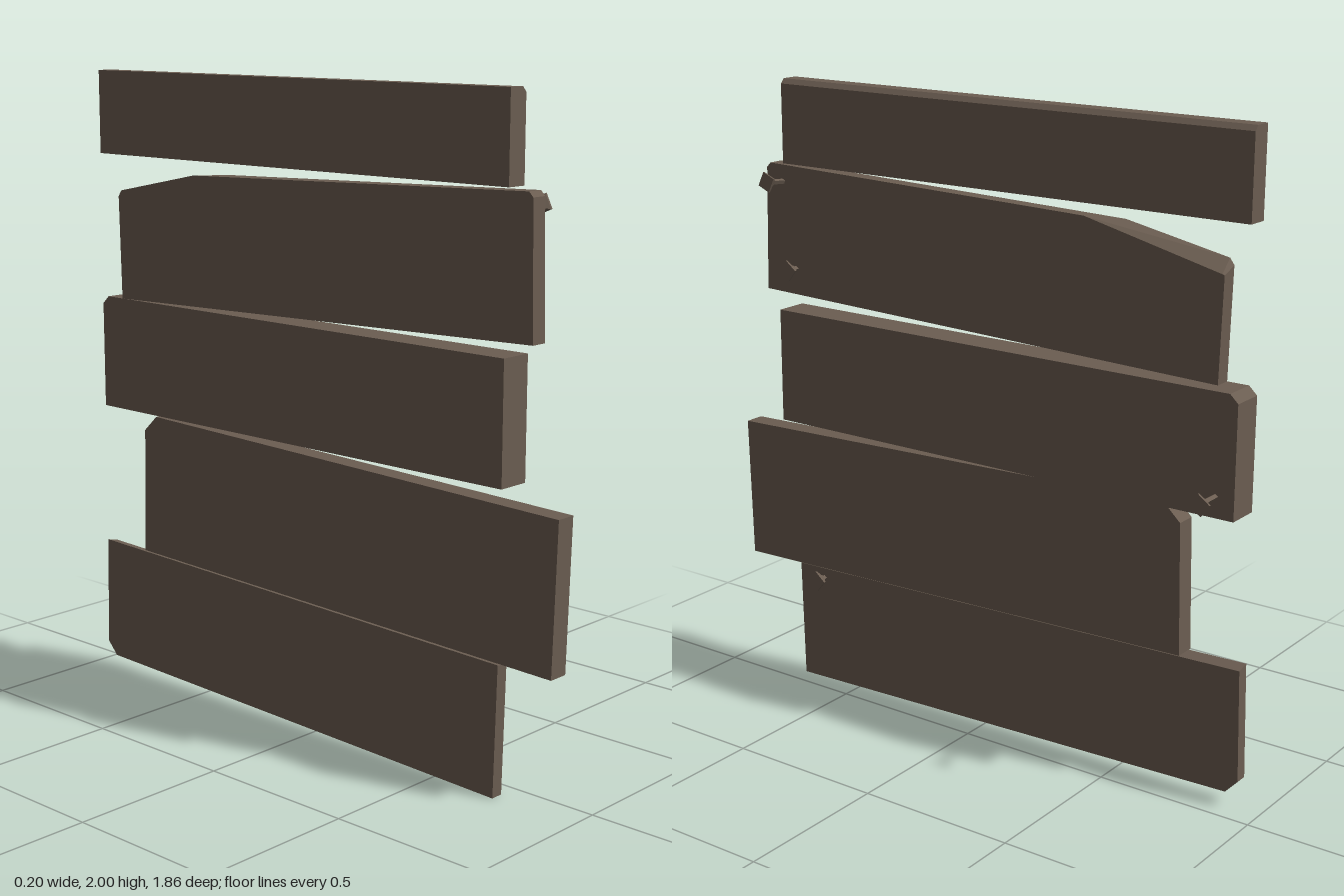
import * as THREE from 'three';

const BACK = -0.1; // shared rear plane of all boards

// Convex board: front and back outlines as [z, y], counter-clockwise seen from +x
function boardGeometry(frontX, front, back = front) {
  const n = front.length;
  const f = front.map(([z, y]) => [frontX, y, z]);
  const b = back.map(([z, y]) => [BACK, y, z]);
  const pos = [];
  const tri = (p, q, r) => pos.push(...p, ...q, ...r);
  for (let i = 0; i < n; i++) {
    const j = (i + 1) % n;
    tri(b[i], b[j], f[j]);
    tri(b[i], f[j], f[i]);
    if (i > 0 && i < n - 1) {
      tri(f[0], f[i], f[i + 1]);
      tri(b[0], b[i + 1], b[i]);
    }
  }
  const geo = new THREE.BufferGeometry();
  geo.setAttribute('position', new THREE.Float32BufferAttribute(pos, 3));
  geo.computeVertexNormals();
  return geo;
}

// Square nail pointing along +x, flaring to a flat head
function nailGeometry(length) {
  const profile = [[0.008, -0.01], [0.009, length - 0.036], [0.014, length - 0.026],
    [0.033, length - 0.006], [0.033, length], [0, length]];
  const lathe = new THREE.LatheGeometry(profile.map(([r, h]) => new THREE.Vector2(r, h)), 4);
  const geo = lathe.toNonIndexed();
  geo.computeVertexNormals();
  geo.rotateZ(-Math.PI / 2);
  return geo;
}

export function createModel() {
  const group = new THREE.Group();
  const wood = new THREE.MeshStandardMaterial({ color: 0x6b5d51 });
  wood.name = 'weatheredBrown';

  const add = (name, geo) => {
    const mesh = new THREE.Mesh(geo, wood);
    mesh.name = name;
    group.add(mesh);
    return mesh;
  };

  // Boards, bottom to top
  add('bottomBoard', boardGeometry(-0.06,
    [[0.725, 0.003], [-0.89, 0.05], [-0.93, 0.093], [-0.92, 0.44], [0.735, 0.395]],
    [[0.725, 0.003], [-0.89, 0.05], [-0.93, 0.093], [-0.92, 0.45], [0.735, 0.403]]));
  add('lowerBoard', boardGeometry(-0.035,
    [[0.92, 0.403], [-0.735, 0.449], [-0.724, 0.855], [-0.67, 0.906], [0.933, 0.86]]));
  add('middleBoard', boardGeometry(0.006,
    [[0.737, 0.91], [-0.916, 0.91], [-0.916, 1.25], [-0.89, 1.275], [0.737, 1.275]]));
  add('upperBoard', boardGeometry(-0.048,
    [[0.834, 1.322], [-0.821, 1.275], [-0.829, 1.585], [-0.822, 1.588],
      [-0.37, 1.697], [0.81, 1.731], [0.824, 1.716]],
    [[0.834, 1.322], [-0.821, 1.275], [-0.829, 1.605], [-0.815, 1.624],
      [-0.48, 1.692], [0.81, 1.731], [0.824, 1.716]]));

  // Top board with a chamfer along its upper front edge
  add('topBoard', boardGeometry(-0.033,
    [[0.743, 1.737], [-0.912, 1.737], [-0.912, 1.985], [0.743, 1.985]]));
  add('topBoardChamfer', boardGeometry(-0.047,
    [[0.743, 1.98], [-0.912, 1.98], [-0.912, 2], [0.743, 2]]));
  const bevel = new THREE.BufferGeometry();
  const a = [-0.033, 1.985, 0.743], b = [-0.033, 1.985, -0.912];
  const c = [-0.047, 2, -0.912], d = [-0.047, 2, 0.743];
  const e = [-0.047, 1.985, 0.743], g = [-0.047, 1.985, -0.912];
  bevel.setAttribute('position', new THREE.Float32BufferAttribute(
    [a, b, c, a, c, d, a, d, e, b, g, c].flat(), 3));
  bevel.computeVertexNormals();
  add('topBoardBevel', bevel);

  // Nails: name, board face x, y, z, length, twist, tilt
  [
    ['bottomNail', -0.06, 0.365, 0.633, 0.042, 0.1, 0],
    ['middleNail', 0.006, 0.973, -0.857, 0.09, 0.15, 0],
    ['upperNailLow', -0.048, 1.402, 0.711, 0.045, 0.12, 0],
    ['upperNailHigh', -0.048, 1.677, 0.757, 0.082, 0.4, 0.1],
  ].forEach(([name, x, y, z, length, twist, tilt]) => {
    const nail = add(name, nailGeometry(length));
    nail.position.set(x, y, z);
    nail.rotation.set(twist, 0, tilt, 'ZYX');
  });

  return group;
}
